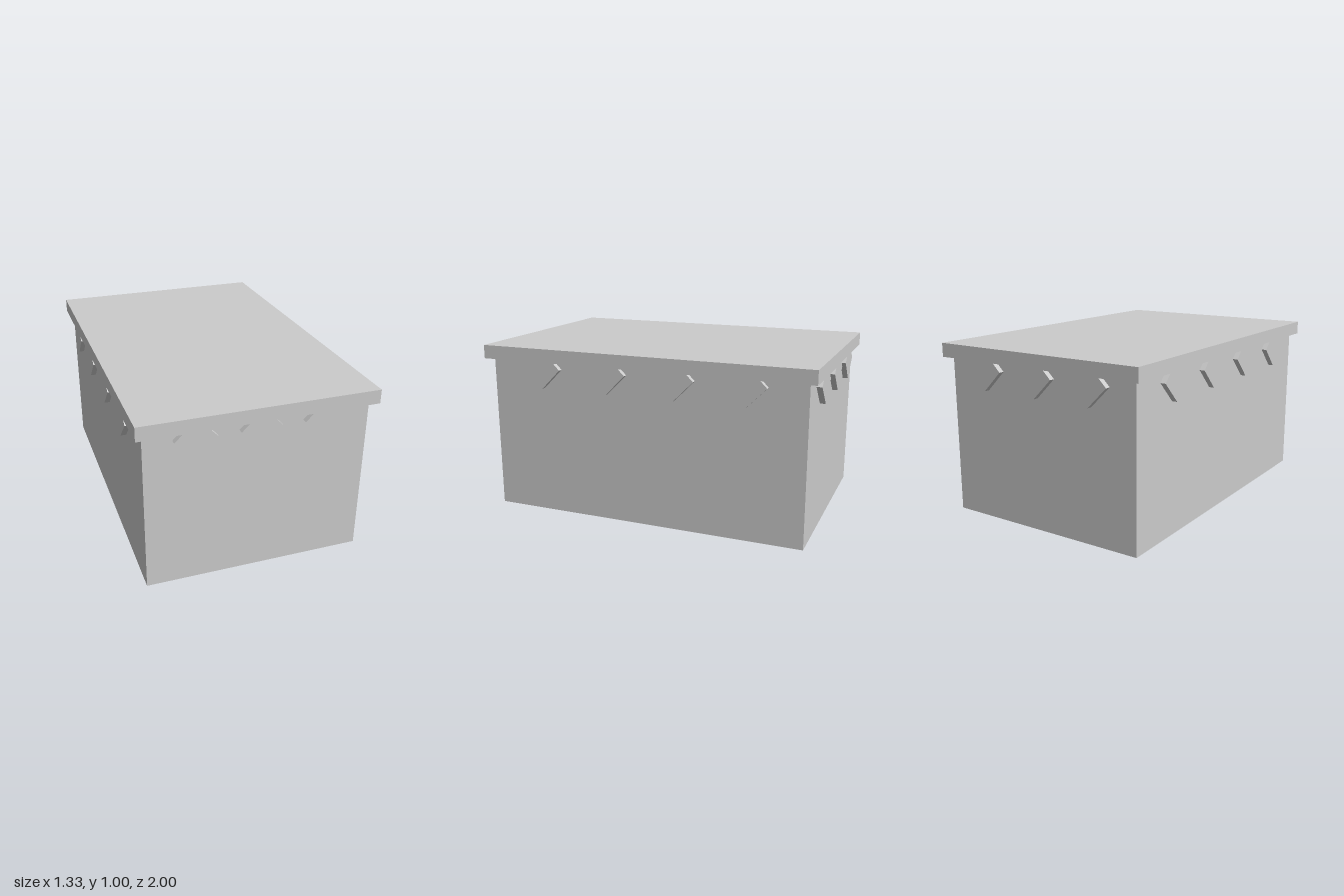
import * as THREE from 'three';

export function createModel() {
  const model = new THREE.Group();
  const material = new THREE.MeshStandardMaterial({ color: 0xcccccc, flatShading: true });

  function addBox(name, size, position) {
    const mesh = new THREE.Mesh(new THREE.BoxGeometry(...size), material);
    mesh.name = name;
    mesh.position.set(...position);
    model.add(mesh);
    return mesh;
  }

  // Plain block with an overhanging slab on top
  addBox('body', [1.25, 0.92, 1.91], [0, 0.46, 0]);
  addBox('lid', [1.33, 0.08, 2], [0, 0.96, 0]);

  // Square studs turned on their corner, tucked up under the lid
  const side = 0.117 * Math.SQRT2;
  const depth = 0.06;

  // Three on the front and three on the back
  for (const z of [0.957, -0.957]) {
    for (const x of [-0.35, 0.005, 0.36]) {
      const stud = addBox(z > 0 ? 'frontStud' : 'backStud', [side, side, depth], [x, 0.871, z]);
      stud.rotation.z = Math.PI / 4;
    }
  }

  // Four on each long side
  for (const [x, y] of [[0.624, 0.88], [-0.626, 0.872]]) {
    for (const z of [0.615, 0.2, -0.21, -0.62]) {
      const stud = addBox(x > 0 ? 'leftStud' : 'rightStud', [depth, side, side], [x, y, z]);
      stud.rotation.x = Math.PI / 4;
    }
  }

  return model;
}
